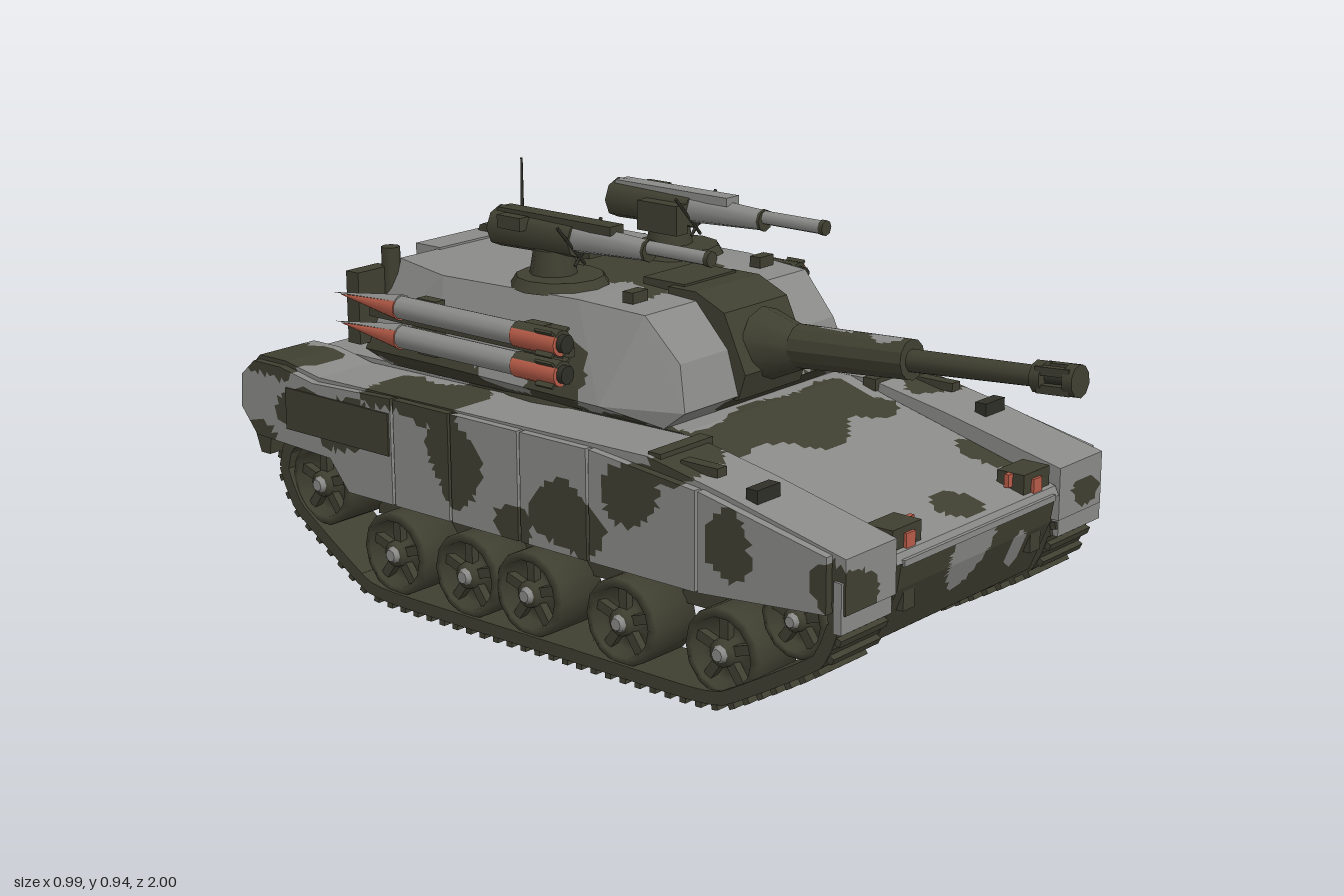
import * as THREE from 'three';
import { mergeGeometries } from 'three/addons/utils/BufferGeometryUtils.js';
import { ConvexGeometry } from 'three/addons/geometries/ConvexGeometry.js';

const mat = (name, color) => {
  const m = new THREE.MeshStandardMaterial({ color });
  m.name = name;
  return m;
};

export function createModel() {
  const root = new THREE.Group();
  root.name = 'battleTank';
  const grey = mat('camouflage grey', 0x8a8a88);
  const olive = mat('olive', 0x3f3f31);
  const dark = mat('dark metal', 0x2f2f27);
  const red = mat('signal red', 0xb85c48);

  const add = (name, geo, material, pos = [0, 0, 0], parent = root) => {
    const m = new THREE.Mesh(geo, material);
    m.name = name;
    m.position.set(...pos);
    parent.add(m);
    return m;
  };
  const box = (name, size, pos, material, parent) =>
    add(name, new THREE.BoxGeometry(...size), material, pos, parent);
  // cylinder lying along z, r1 at the +z end; the arc starts underneath and runs up the +x side
  const tubeZ = (r1, r2, len, sides = 10, start = 0, arc = Math.PI * 2) =>
    new THREE.CylinderGeometry(r1, r2, len, sides, 1, false, start, arc).rotateX(Math.PI / 2);
  // side profile of [z, y] points extruded across x
  const prism = (profile, xc, width) => {
    const shape = new THREE.Shape(profile.map(p => new THREE.Vector2(...p)));
    return new THREE.ExtrudeGeometry(shape, { depth: width, bevelEnabled: false })
      .rotateY(-Math.PI / 2).translate(xc + width / 2, 0, 0);
  };

  // splits a surface finely and gives the faces inside the blobs the second colour
  // blob: [x, y, z, rx, ry, rz]
  const camo = (name, geo, base, patch, blobs, parent = root) => {
    const g = geo.index ? geo.toNonIndexed() : geo;
    const p = g.attributes.position, out = [[], []], stack = [];
    const v = i => new THREE.Vector3().fromBufferAttribute(p, i);
    for (let i = 0; i < p.count; i += 3) stack.push([v(i), v(i + 1), v(i + 2)]);
    while (stack.length) {
      const t = stack.pop();
      const d = [0, 1, 2].map(i => t[i].distanceTo(t[(i + 1) % 3]));
      const k = d.indexOf(Math.max(...d));
      const a = t[k], b = t[(k + 1) % 3], c = t[(k + 2) % 3];
      if (d[k] > 0.026) {
        const m = a.clone().add(b).multiplyScalar(0.5);
        stack.push([a, m, c], [m, b, c]);
        continue;
      }
      const q = a.clone().add(b).add(c).divideScalar(3);
      const wave = 0.18 * Math.sin(q.x * 23 + q.y * 17) + 0.18 * Math.sin(q.z * 29 - q.y * 21 + q.x * 5);
      const inside = blobs.some(([x, y, z, rx, ry, rz]) =>
        Math.hypot((q.x - x) / rx, (q.y - y) / ry, (q.z - z) / rz) < 1 + wave);
      const list = out[inside ? 1 : 0];
      for (const u of [a, b, c]) list.push(u.x, u.y, u.z);
    }
    const r = new THREE.BufferGeometry();
    r.setAttribute('position', new THREE.Float32BufferAttribute(out[0].concat(out[1]), 3));
    r.addGroup(0, out[0].length / 3, 0);
    r.addGroup(out[0].length / 3, out[1].length / 3, 1);
    r.computeVertexNormals();
    return add(name, r, [base, patch], [0, 0, 0], parent);
  };

  // hull
  camo('lowerHull', prism([[0.77, 0.36], [0.76, 0.3], [0.71, 0.18], [0.68, 0.16], [-0.6, 0.16], [-0.8, 0.21], [-0.92, 0.29], [-0.97, 0.38]], 0, 0.57),
    olive, grey, [[-0.02, 0.32, 0.74, 0.07, 0.1, 0.12], [0.17, 0.27, 0.73, 0.03, 0.05, 0.1]]);
  camo('upperHull', prism([[0.77, 0.36], [0.76, 0.38], [0.3, 0.5], [0.2, 0.53], [-0.93, 0.53], [-0.98, 0.5],
    [-0.99, 0.42], [-0.96, 0.36]], 0, 0.6), grey, olive,
    [[0.22, 0.53, -0.72, 0.42, 0.1, 0.16], [0.25, 0.53, -0.84, 0.2, 0.06, 0.12], [0, 0.44, -1, 0.6, 0.1, 0.05],
      [-0.03, 0.52, 0.28, 0.3, 0.08, 0.1], [0, 0.4, 0.69, 0.07, 0.03, 0.05], [-0.3, 0.53, -0.1, 0.1, 0.1, 0.3],
      [0.3, 0.53, -0.3, 0.1, 0.1, 0.25], [0.27, 0.42, 0.6, 0.04, 0.03, 0.08]]);

  // fenders, skirts and running gear on both sides
  const topAt = z => z > 0.25 ? 0.53 - (z - 0.25) * 0.2 : 0.53;
  const sideBlobs = s => [[0.49, 0.38, 0.055, 0.08], [0.21, 0.46, 0.085, 0.07], [0.04, 0.34, 0.09, 0.08],
    [-0.3, 0.43, 0.07, 0.11], [-0.13, 0.3, 0.06, 0.05], [-0.68, 0.44, 0.17, 0.06], [0.74, 0.35, 0.045, 0.06],
    [-0.9, 0.53, 0.09, 0.04], [0.33, 0.52, 0.08, 0.04], [-0.45, 0.53, 0.16, 0.05], [-0.95, 0.33, 0.06, 0.05]]
    .map(([z, y, rz, ry]) => [s * 0.45, y, z, 0.12, ry, rz]);
  const path = new THREE.CatmullRomCurve3([[0.34, 0.6], [0.34, 0.7], [0.28, 0.735], [0.18, 0.69], [0.045, 0.46],
    [0.028, 0.36], [0.028, 0], [0.028, -0.52], [0.045, -0.63], [0.18, -0.84], [0.27, -0.89], [0.34, -0.86],
    [0.36, -0.7], [0.35, 0]].map(([y, z]) => new THREE.Vector3(0, y, z)), true, 'catmullrom', 0.25);
  const links = [], linkCount = 84;
  for (let i = 0; i < linkCount; i++) {
    const p = path.getPointAt(i / linkCount), t = path.getTangentAt(i / linkCount);
    for (const g of [new THREE.BoxGeometry(0.165, 0.03, 0.048), new THREE.BoxGeometry(0.16, 0.018, 0.016).translate(0, 0.019, 0)])
      links.push(g.rotateX(Math.atan2(-t.y, t.z)).translate(p.x, p.y, p.z));
  }
  const trackGeo = mergeGeometries(links);
  const wheel = (s, z, y, r, name) => {
    const g = new THREE.Group();
    g.name = name;
    g.position.set(s * 0.385, y, z);
    g.rotation.z = -s * Math.PI / 2;
    const rim = [[0.01, -0.06], [r, -0.06], [r, 0.07], [r * 0.8, 0.075], [r * 0.72, 0.045], [r * 0.35, 0.045], [r * 0.3, 0.075], [0.001, 0.08]];
    add('wheelDisc', new THREE.LatheGeometry(rim.map(p => new THREE.Vector2(...p)), 14), olive, [0, 0, 0], g);
    for (let i = 0; i < 5; i++) {
      const a = i * Math.PI * 0.4;
      const spoke = box('spoke', [r * 0.5, 0.02, 0.022], [Math.cos(a) * r * 0.52, 0.055, Math.sin(a) * r * 0.52], olive, g);
      spoke.rotation.y = -a;
    }
    add('hubCap', new THREE.CylinderGeometry(r * 0.14, r * 0.2, 0.012, 8), grey, [0, 0.083, 0], g);
    root.add(g);
  };
  for (const s of [-1, 1]) {
    const blobs = sideBlobs(s);
    camo('fender', prism([[0.77, 0.3], [0.77, 0.42], [0.46, 0.49], [0.25, 0.53], [-0.75, 0.52], [-0.86, 0.54], [-0.95, 0.54], [-1, 0.49],
      [-1, 0.41], [-0.96, 0.3], [-0.93, 0.3], [-0.92, 0.37], [0.72, 0.37], [0.74, 0.3]], s * 0.388, 0.17), grey, olive, blobs);
    [0.74, 0.4, 0.1, -0.1, -0.31, -0.49].forEach((a, i, edges) => {
      const b = edges[i + 1];
      if (b === undefined) return;
      const low = i === 0 ? 0.3 : 0.27;
      camo('skirtPanel', prism([[a - 0.004, low], [a - 0.004, topAt(a) - 0.01], [b + 0.004, topAt(b) - 0.01], [b + 0.004, 0.27]],
        s * 0.48, 0.025), grey, olive, blobs);
    });
    camo('rearSkirt', prism([[-0.495, 0.27], [-0.495, 0.52], [-0.75, 0.51], [-0.86, 0.53], [-0.95, 0.53], [-0.995, 0.49], [-1, 0.41],
      [-0.95, 0.35], [-0.7, 0.34], [-0.64, 0.27]], s * 0.48, 0.025), grey, olive, blobs);
    box('rearSidePanel', [0.008, 0.1, 0.34], [s * 0.493, 0.435, -0.67], olive);
    box('mudFlap', [0.17, 0.11, 0.02], [s * 0.395, 0.315, 0.755], grey);
    add('track', trackGeo, olive, [s * 0.3825, 0, 0]);
    for (const z of [0.44, 0.16, -0.11, -0.3, -0.53]) wheel(s, z, 0.135, 0.1, 'roadWheel');
    wheel(s, 0.63, 0.255, 0.085, 'frontIdler');
    wheel(s, -0.77, 0.255, 0.1, 'rearSprocket');
    for (const z of [0.3, 0.02, -0.2, -0.42, -0.64]) box('suspensionArm', [0.07, 0.1, 0.12], [s * 0.31, 0.22, z], olive);

    // fender fittings, lamps and tow eyes
    box('fenderGrille', [0.075, 0.04, 0.03], [s * 0.41, 0.485, 0.51], dark);
    box('fenderLocker', [0.17, 0.028, 0.035], [s * 0.375, 0.522, 0.26], olive);
    box('fenderHandle', [0.03, 0.02, 0.1], [s * 0.42, 0.515, 0.36], olive);
    box('lampHousing', [0.1, 0.065, 0.07], [s * 0.24, 0.395, 0.715], olive);
    box('lampLens', [0.032, 0.036, 0.008], [s * 0.235, 0.395, 0.753], red);
    box('indicatorLamp', [0.016, 0.03, 0.012], [s * 0.182, 0.412, 0.715], red);
    box('towEye', [0.04, 0.05, 0.05], [s * 0.235, 0.27, 0.73], olive);
  }
  box('glacisLip', [0.56, 0.014, 0.03], [0, 0.36, 0.76], grey);

  // turret
  add('turretRing', new THREE.CylinderGeometry(0.31, 0.33, 0.05, 24), olive, [0, 0.53, -0.22]);
  const shell = [];
  for (const s of [-1, 1])
    for (const [x, y, z] of [[0.3, 0.53, 0.15], [0.31, 0.53, -0.68], [0.29, 0.57, 0.2], [0.365, 0.57, 0.02], [0.375, 0.58, -0.45],
      [0.35, 0.57, -0.72], [0.27, 0.67, 0.17], [0.28, 0.765, 0.08], [0.295, 0.775, -0.1], [0.31, 0.77, -0.5], [0.25, 0.77, -0.7]])
      shell.push(new THREE.Vector3(s * x, y, z));
  camo('turretShell', new ConvexGeometry(shell), grey, olive, [[0, 0.78, -0.2, 0.19, 0.08, 0.24],
    [0.36, 0.6, -0.1, 0.06, 0.05, 0.1], [-0.36, 0.63, -0.12, 0.06, 0.1, 0.08], [0, 0.53, 0.18, 0.2, 0.05, 0.08],
    [0.34, 0.62, -0.65, 0.08, 0.12, 0.1], [-0.36, 0.58, -0.55, 0.08, 0.07, 0.16], [0.1, 0.57, -0.72, 0.25, 0.06, 0.1],
    [0, 0.54, -0.25, 0.37, 0.02, 0.4], [0.37, 0.58, -0.4, 0.04, 0.04, 0.15]]);
  camo('rearStowageBox', new THREE.BoxGeometry(0.26, 0.16, 0.08).translate(0, 0.695, -0.73), grey, olive, [[0.1, 0.62, -0.77, 0.12, 0.06, 0.1]]);
  add('rearRoll', new THREE.CylinderGeometry(0.02, 0.02, 0.15, 8).rotateZ(Math.PI / 2), olive, [0.14, 0.775, -0.735]);
  box('roofHatch', [0.18, 0.02, 0.12], [0, 0.78, -0.03], olive);
  add('antenna', new THREE.CylinderGeometry(0.003, 0.005, 0.2, 6), dark, [0.2, 0.835, -0.735]);
  add('antennaBase', new THREE.CylinderGeometry(0.012, 0.016, 0.14, 8), olive, [0.2, 0.7, -0.735]);
  add('rearMast', new THREE.CylinderGeometry(0.022, 0.022, 0.16, 8), olive, [-0.27, 0.72, -0.71]);

  // main gun
  add('mantletHousing', prism([[0.0, 0.55], [0.2, 0.56], [0.22, 0.62], [0.16, 0.75], [0.08, 0.785], [0.0, 0.785]], 0, 0.22), olive);
  const gun = new THREE.Group();
  gun.name = 'mainGun';
  gun.position.set(0, 0.665, 0.2);
  gun.rotation.x = -0.07;
  root.add(gun);
  add('mantletCone', tubeZ(0.046, 0.085, 0.11), olive, [0, 0, 0.04], gun);
  camo('recoilSleeve', tubeZ(0.045, 0.05, 0.3, 12).translate(0, 0.005, 0.235), olive, grey,
    [[0.03, 0.03, 0.33, 0.05, 0.06, 0.05], [0.02, 0.05, 0.2, 0.03, 0.03, 0.06]], gun);
  add('barrel', tubeZ(0.023, 0.026, 0.34), olive, [0, 0.003, 0.54], gun);
  for (const z of [0.71, 0.788]) add('muzzleRing', tubeZ(0.035, 0.035, 0.024), olive, [0, 0.003, z], gun);
  for (let i = 0; i < 4; i++) {
    const a = Math.PI / 4 + i * Math.PI / 2;
    box('muzzleBar', [0.018, 0.018, 0.08], [Math.cos(a) * 0.027, 0.003 + Math.sin(a) * 0.027, 0.75], olive, gun);
  }
  add('muzzleCore', tubeZ(0.014, 0.014, 0.08), dark, [0, 0.003, 0.75], gun);

  // roof weapon stations and missile racks
  for (const s of [-1, 1]) {
    const st = new THREE.Group();
    st.name = 'roofWeaponStation';
    st.position.set(s * 0.2, 0.78, -0.24);
    root.add(st);
    add('cupola', new THREE.CylinderGeometry(0.1, 0.115, 0.024, 12), olive, [0, 0.002, 0], st);
    add('pedestal', new THREE.CylinderGeometry(0.045, 0.055, 0.06, 10), olive, [0, 0.04, -0.02], st);
    add('receiver', tubeZ(0.042, 0.048, 0.24, 8), olive, [0, 0.1, -0.06], st);
    box('ammoBox', [0.04, 0.07, 0.12], [s * -0.05, 0.085, 0], olive, st);
    box('sight', [0.03, 0.03, 0.07], [s * 0.045, 0.125, -0.1], olive, st);
    box('receiverCover', [0.045, 0.02, 0.34], [0, 0.137, 0], s > 0 ? grey : olive, st);
    add('barrelShroud', tubeZ(0.024, 0.034, 0.2, 8), grey, [0, 0.105, 0.16], st);
    add('shroudCap', tubeZ(0.026, 0.026, 0.008, 8), olive, [0, 0.105, 0.262], st);
    add('stationBarrel', tubeZ(0.016, 0.016, 0.17, 8), grey, [0, 0.112, 0.345], st);
    add('stationMuzzle', tubeZ(0.018, 0.018, 0.012, 8), olive, [0, 0.112, 0.434], st);
    for (const t of [-1, 1]) {
      const rod = add('stayRod', new THREE.CylinderGeometry(0.004, 0.004, 0.13, 5), dark, [t * 0.028, 0.09, 0.06], st);
      rod.rotation.z = -t * 0.75;
    }
    box('periscope', [0.05, 0.025, 0.03], [s * 0.22, 0.785, 0.0], olive);
    for (const z of [-0.15, -0.48]) box('rackFrame', [0.03, 0.13, 0.06], [s * 0.37, 0.665, z], olive);
    box('rackRail', [0.04, 0.02, 0.6], [s * 0.37, 0.675, -0.36], olive);
    box('bustleCorner', [0.1, 0.17, 0.04], [s * 0.325, 0.67, -0.73], olive);
    // red covers only the outer flank of each missile
    const flank = Math.PI * 0.72;
    const outerStart = s > 0 ? 0 : -flank, innerStart = s > 0 ? flank : 0;
    for (const y of [0.71, 0.642]) {
      const m = new THREE.Group();
      m.name = 'missile';
      m.position.set(s * 0.412, y, 0);
      root.add(m);
      add('missileBody', tubeZ(0.027, 0.027, 0.36), grey, [0, 0, -0.35], m);
      add('missileBandOuter', tubeZ(0.029, 0.029, 0.13, 6, outerStart, flank), red, [0, 0, -0.105], m);
      add('missileBandInner', tubeZ(0.029, 0.029, 0.13, 8, innerStart, Math.PI * 2 - flank), olive, [0, 0, -0.105], m);
      add('missileNozzle', tubeZ(0.021, 0.021, 0.02), dark, [0, 0, -0.035], m);
      add('missileNoseOuter', tubeZ(0.03, 0.001, 0.2, 6, outerStart, flank), red, [0, 0, -0.63], m);
      add('missileNoseInner', tubeZ(0.03, 0.001, 0.22, 8, innerStart, Math.PI * 2 - flank), grey, [0, 0, -0.64], m);
      for (let i = 0; i < 2; i++) {
        const fin = box('missileFin', [0.08, 0.006, 0.05], [0, 0, -0.07], olive, m);
        fin.rotation.z = Math.PI / 4 + i * Math.PI / 2;
      }
    }
  }
  return root;
}
